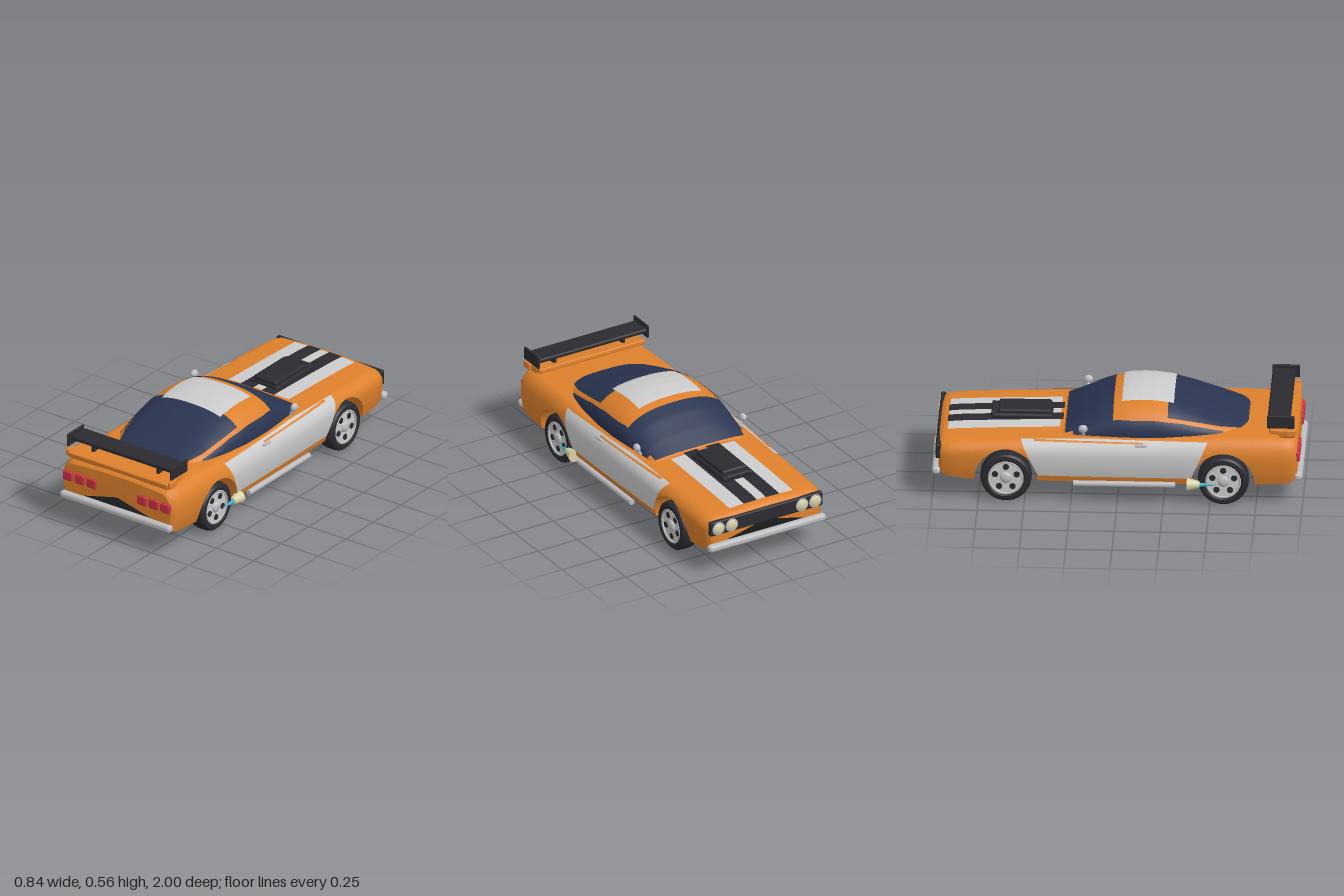
import * as THREE from 'three';
import { toCreasedNormals } from 'three/addons/utils/BufferGeometryUtils.js';
import { RoundedBoxGeometry } from 'three/addons/geometries/RoundedBoxGeometry.js';

const paint = (name, color) => new THREE.MeshStandardMaterial({ name, color, side: THREE.DoubleSide });
const M = {
  orange: paint('orange paint', 0xdd802c), black: paint('black trim', 0x2a2a30), floor: paint('underside black', 0x18181a),
  glass: paint('navy glass', 0x2a3450), white: paint('light grey paint', 0xcbcbcb), chrome: paint('chrome', 0xbcbcbe),
  red: paint('red lamp', 0xc93040), cream: paint('cream', 0xd8d0a8), cyan: paint('cyan', 0x3fb4cc),
};

// Linear lookup in a list of [z, value] pairs
function lookup(table, z) {
  if (z <= table[0][0]) return table[0][1];
  for (let i = 1; i < table.length; i++) {
    const [z0, a] = table[i - 1], [z1, b] = table[i];
    if (z <= z1) return a + (b - a) * (z - z0) / (z1 - z0);
  }
  return table[table.length - 1][1];
}

// Body rules: the tail is at +z, the nose at -z
const ARCHES = [0.573, -0.6], ARCH_R = 0.172, ARCH_H = 0.187;
const halfWidth = z => lookup([[-0.965, 0.345], [-0.95, 0.362], [-0.9, 0.376], [-0.5, 0.385], [0, 0.393], [0.4, 0.395],
  [0.8, 0.388], [0.93, 0.38], [0.955, 0.372], [0.97, 0.355]], z);
const deck = z => lookup([[-0.965, 0.315], [-0.95, 0.328], [-0.92, 0.336], [-0.85, 0.342], [-0.6, 0.352], [-0.25, 0.362],
  [0.3, 0.376], [0.6, 0.385], [0.93, 0.383], [0.955, 0.376], [0.97, 0.36]], z);
const sillY = z => lookup([[-0.965, 0.165], [-0.94, 0.143], [-0.8, 0.122], [0.75, 0.12], [0.93, 0.13], [0.97, 0.16]], z);
const archY = z => Math.max(...ARCHES.map(c => {
  const d = (z - c) / ARCH_R;
  return Math.abs(d) < 1 ? 0.12 + ARCH_H * Math.sqrt(1 - d * d) : 0;
}));
const bottomY = z => Math.max(sillY(z), archY(z));
const sideX = (y, z) => {
  const w = halfWidth(z), t = deck(z), mid = 0.27;
  if (y < mid) return w * (1 - 0.065 * ((mid - y) / 0.15) ** 2);
  return w * (1 - 0.2 * (1 - Math.sqrt(Math.max(0, 1 - ((y - mid) / (t - mid)) ** 2))));
};
const topY = (x, z) => deck(z) + 0.012 * (1 - Math.min(1, (x / (0.8 * halfWidth(z))) ** 2));

// Cabin rules: a superellipse over a flat base
const CAB_BASE = 0.36, CAB_N = 2.4;
const roof = z => lookup([[-0.3, 0.366], [-0.2, 0.436], [-0.1, 0.497], [-0.02, 0.532], [0.05, 0.549], [0.13, 0.555],
  [0.2, 0.552], [0.28, 0.54], [0.4, 0.503], [0.55, 0.446], [0.7, 0.395], [0.74, 0.375]], z);
const cabinW = z => lookup([[-0.3, 0.296], [-0.1, 0.315], [0.05, 0.328], [0.25, 0.327], [0.4, 0.315], [0.55, 0.29],
  [0.65, 0.25], [0.7, 0.21], [0.74, 0.15]], z);
function cabinPoint(z, a, off = 0) {
  const s = Math.sin(a), c = Math.max(0, Math.cos(a)), e = 2 / CAB_N;
  return [Math.sign(s) * (cabinW(z) + off) * Math.abs(s) ** e, CAB_BASE + (roof(z) - CAB_BASE + off) * c ** e, z];
}

const mesh = (parent, name, geo, mat, x = 0, y = 0, z = 0) => {
  const m = new THREE.Mesh(geo, mat);
  m.name = name;
  m.position.set(x, y, z);
  parent.add(m);
  return m;
};

// Surface through rows of points
function loft(rows) {
  const n = rows[0].length, idx = [];
  for (let i = 0; i < rows.length - 1; i++) for (let j = 0; j < n - 1; j++) {
    const a = i * n + j, b = a + n;
    idx.push(a, a + 1, b, a + 1, b + 1, b);
  }
  const g = new THREE.BufferGeometry();
  g.setAttribute('position', new THREE.Float32BufferAttribute(rows.flat(2), 3));
  g.setIndex(idx);
  return toCreasedNormals(g, 0.6);
}
const range = (n, f) => Array.from({ length: n + 1 }, (_, i) => f(i / n));
const patch = (nu, nv, f) => loft(range(nu, u => range(nv, v => f(u, v))));
const mix = (a, b, t) => a + (b - a) * t;

// Panel that hugs the body side; zs gives the two ends at a height
function sidePatch(s, y0, y1, zs, off) {
  return patch(48, 14, (u, v) => {
    const k = s > 0 ? v : 1 - v, [za, zb] = zs(k), z = mix(za, zb, u);
    const y = mix(y0, Math.min(y1, deck(z) - 0.003), k);
    return [s * (sideX(y, z) + off), y + off * 0.6, z];
  });
}

function buildBody(g) {
  const arcs = ARCHES.flatMap(c => range(28, t => c - ARCH_R * Math.cos(Math.PI * t)));
  const zs = [...arcs, ...range(20, t => mix(-0.42, 0.39, t)), -0.965, -0.95, -0.94, -0.92, -0.9, -0.85, -0.8, 0.78, 0.82, 0.88, 0.93, 0.955, 0.97]
    .sort((a, b) => a - b);
  const section = z => {
    const b = bottomY(z), t = deck(z), half = range(18, k => {
      const y = b + (t - b) * Math.sin(k * Math.PI / 2);
      return [sideX(y, z), y, z];
    });
    const top = range(10, k => { const x = 0.8 * halfWidth(z) * (1 - 2 * k); return [x, topY(x, z), z]; }).slice(1, -1);
    return [...half, ...top, ...half.map(([x, y]) => [-x, y, z]).reverse()];
  };
  const rows = zs.map(section), point = z => rows[0].map(() => [0, 0.25, z]);
  mesh(g, 'bodyShell', loft([point(-0.97), ...rows, point(0.975)]), M.orange);

  // Underside: orange tunnels over the wheels, black floor elsewhere
  const under = list => loft(list.map(z => { const y = bottomY(z), x = sideX(y, z); return [[-x, y, z], [x, y, z]]; }));
  ARCHES.forEach(c => mesh(g, 'wheelTunnel', under(range(28, t => c - ARCH_R * Math.cos(Math.PI * t))), M.orange));
  [[-0.965, -0.772], [-0.428, 0.401], [0.745, 0.97]].forEach(([a, b]) =>
    mesh(g, 'floor', under(range(12, t => mix(a, b, t))), M.floor));

  // Painted sides with a thin accent line, and door handles
  for (const s of [1, -1]) {
    mesh(g, 'sidePanel', sidePatch(s, 0.155, 0.362, k => [mix(-0.425, -0.52, k), mix(0.398, 0.487, k)], 0.003), M.white);
    mesh(g, 'sideAccent', sidePatch(s, 0.346, 0.353, () => [-0.45, 0.14], 0.005), M.orange);
    mesh(g, 'doorHandle', new RoundedBoxGeometry(0.014, 0.014, 0.065, 2, 0.005), M.chrome, s * 0.383, 0.345, 0.13);
  }
  // Bonnet stripes
  const stripe = (name, x0, x1, z0, z1, off, mat) => mesh(g, name, patch(20, 6, (u, v) => {
    const x = mix(x1, x0, v), z = mix(z0, z1, u);
    return [x, topY(x, z) + off, z];
  }), mat);
  stripe('bonnetPanel', -0.2, 0.2, -0.92, -0.315, 0.003, M.white);
  for (const s of [1, -1]) stripe('bonnetStripe', s * 0.07 - 0.042, s * 0.07 + 0.042, -0.925, -0.3, 0.006, M.black);

  // Bonnet scoop
  mesh(g, 'scoopBase', new RoundedBoxGeometry(0.19, 0.03, 0.33, 2, 0.012), M.black, 0, 0.377, -0.525);
  mesh(g, 'scoopTop', new RoundedBoxGeometry(0.155, 0.03, 0.285, 2, 0.012), M.black, 0, 0.397, -0.51);
  mesh(g, 'scoopLip', new RoundedBoxGeometry(0.16, 0.03, 0.02, 2, 0.008), M.black, 0, 0.383, -0.682);
}

function buildCabin(g) {
  const H = Math.PI / 2, angle = f => Math.asin(f ** (CAB_N / 2));
  mesh(g, 'cabin', patch(60, 36, (u, v) => cabinPoint(mix(-0.3, 0.74, u), mix(H, -H, v))), M.orange);
  const band = (name, z0, z1, f, off, mat) => mesh(g, name, patch(24, 24, (u, v) => {
    const z = mix(z0, z1, u), a = angle(f);
    return cabinPoint(z, mix(a, -a, v), off);
  }), mat);
  band('windscreen', -0.285, -0.025, 0.93, 0.004, M.glass);
  band('rearWindow', 0.27, 0.7, 0.87, 0.004, M.glass);
  band('roofPanel', 0.02, 0.3, 0.59, 0.007, M.white);
  const glassTop = z => Math.min(roof(z) - 0.01, lookup([[-0.24, 0.392], [-0.1, 0.437], [0, 0.457], [0.2, 0.458], [0.35, 0.44], [0.57, 0.393]], z));
  for (const s of [1, -1]) mesh(g, 'sideWindow', patch(30, 8, (u, v) => {
    const z = mix(-0.24, 0.57, u), y = mix(0.37, glassTop(z), s > 0 ? v : 1 - v);
    const k = Math.min(1, (y - CAB_BASE) / (roof(z) - CAB_BASE));
    return [s * (cabinW(z) * (1 - k ** CAB_N) ** (1 / CAB_N) + 0.004), y, z];
  }), M.glass);
  // Mirrors
  for (const s of [1, -1]) {
    const stalk = mesh(g, 'mirrorStalk', new THREE.CylinderGeometry(0.008, 0.01, 0.055, 10), M.chrome, s * 0.325, 0.395, -0.185);
    stalk.rotation.z = -s * 0.5;
    mesh(g, 'mirror', new THREE.SphereGeometry(0.023, 16, 12), M.chrome, s * 0.335, 0.418, -0.185).scale.set(0.8, 1, 1.1);
  }
}

function buildEnds(g) {
  for (const s of [1, -1]) {
    mesh(g, s > 0 ? 'rearBumper' : 'frontBumper', new RoundedBoxGeometry(0.738, 0.042, 0.045, 4, 0.018), M.chrome, 0, 0.167, s * 0.9775);
    [0.325, 0.247, 0.168].forEach(x => mesh(g, 'tailLamp', new RoundedBoxGeometry(0.063, 0.057, 0.03, 2, 0.01), M.red, s * x, 0.283, 0.971));
    [0.305, 0.222].forEach(x => {
      const ring = mesh(g, 'headlampRing', new THREE.TorusGeometry(0.034, 0.005, 8, 24), M.chrome, s * x, 0.277, -0.981);
      mesh(g, 'headlamp', new THREE.SphereGeometry(0.034, 20, 14), M.cream, ring.position.x, 0.277, -0.979).scale.z = 0.45;
    });
    // Wing end plates and struts
    mesh(g, 'wingEndPlate', new RoundedBoxGeometry(0.013, 0.073, 0.148, 2, 0.005), M.black, s * 0.345, 0.483, 0.882);
    mesh(g, 'wingStrut', new RoundedBoxGeometry(0.018, 0.065, 0.05, 2, 0.005), M.black, s * 0.217, 0.455, 0.875);
    mesh(g, 'lipEnd', new RoundedBoxGeometry(0.022, 0.042, 0.06, 2, 0.009), M.orange, s * 0.34, 0.415, 0.935);
  }
  mesh(g, 'grille', new RoundedBoxGeometry(0.71, 0.085, 0.03, 2, 0.01), M.black, 0, 0.279, -0.966);
  mesh(g, 'wing', new RoundedBoxGeometry(0.68, 0.026, 0.125, 3, 0.011), M.black, 0, 0.49, 0.872);
  mesh(g, 'tailLip', new RoundedBoxGeometry(0.67, 0.028, 0.15, 2, 0.008), M.orange, 0, 0.415, 0.893).rotation.x = 0.1;
  mesh(g, 'tailLipBase', new RoundedBoxGeometry(0.65, 0.03, 0.08, 2, 0.008), M.orange, 0, 0.395, 0.915);
}

function buildWheel(s, z) {
  const w = new THREE.Group();
  w.name = 'wheel';
  w.position.set(s * 0.328, 0.139, z);
  w.rotation.z = -s * Math.PI / 2; // local +y points outwards
  const profile = [[0.092, -0.045], [0.105, -0.052], [0.124, -0.05], [0.134, -0.04], [0.138, -0.02], [0.138, 0.02], [0.134, 0.04],
    [0.124, 0.05], [0.105, 0.052], [0.094, 0.045], [0.09, 0.03]].map(p => new THREE.Vector2(...p));
  mesh(w, 'tyre', toCreasedNormals(new THREE.LatheGeometry(profile, 40), 0.5), M.black);
  mesh(w, 'rim', new THREE.CylinderGeometry(0.093, 0.093, 0.084, 32), M.white, 0, -0.003, 0);
  mesh(w, 'rimEdge', new THREE.TorusGeometry(0.092, 0.006, 8, 36), M.chrome, 0, 0.044, 0).rotation.x = Math.PI / 2;
  for (let i = 0; i < 5; i++) {
    const a = i * Math.PI * 0.4;
    mesh(w, 'rimHole', new THREE.CylinderGeometry(0.017, 0.017, 0.004, 16), M.black, 0.062 * Math.cos(a), 0.041, 0.062 * Math.sin(a));
  }
  mesh(w, 'hub', new THREE.SphereGeometry(0.032, 20, 12), M.chrome, 0, 0.04, 0).scale.y = 0.5;
  return w;
}

export function createModel() {
  const g = new THREE.Group();
  g.name = 'sportsCoupe';
  buildBody(g);
  buildCabin(g);
  buildEnds(g);
  for (const s of [1, -1]) {
    ARCHES.forEach(z => g.add(buildWheel(s, z)));
    // Side pipe, flared outlet and flame
    const along = (name, geo, mat, x, z) => { mesh(g, name, geo, mat, s * x, 0.125, z).rotation.x = Math.PI / 2; };
    along('sidePipe', new THREE.CylinderGeometry(0.016, 0.016, 0.55, 16), M.chrome, 0.396, 0.04);
    along('pipeOutlet', new THREE.CylinderGeometry(0.019, 0.036, 0.068, 20), M.cream, 0.385, 0.412);
    along('flame', new THREE.ConeGeometry(0.012, 0.1, 10), M.cyan, 0.388, 0.495);
  }
  return g;
}
